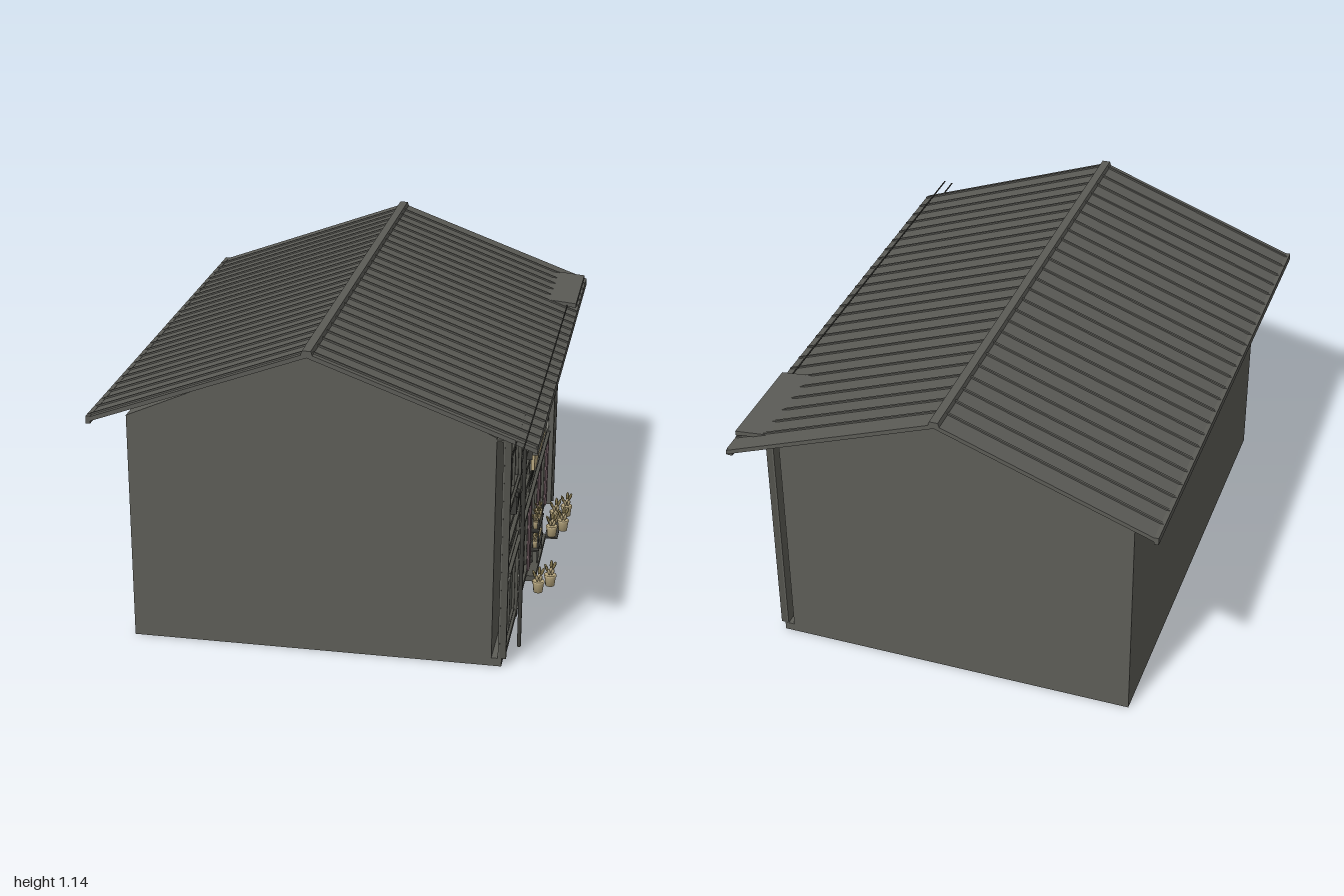
import * as THREE from 'three';

const mat = (name, color, double) => {
  const m = new THREE.MeshStandardMaterial({ color });
  m.name = name;
  if (double) m.side = THREE.DoubleSide;
  return m;
};

export function createModel() {
  const root = new THREE.Group();
  root.name = 'townhouse';
  const wall = mat('wall grey', 0x5d5d57), roofM = mat('roof grey', 0x5b5b56);
  const timber = mat('timber grey', 0x52524c), dark = mat('dark metal', 0x3c3c38);
  const glass = mat('window grey', 0x575851), pale = mat('pale trim', 0x8a8a82);
  const cloth = mat('curtain white', 0xc4c4ba, true), pink = mat('door curtain pink', 0x957a82, true);
  const tan = mat('tan', 0xb9a87f), leaf = mat('dry leaves', 0x7d7048);

  const add = (parent, name, geo, m) => {
    const mesh = new THREE.Mesh(geo, m);
    mesh.name = name;
    parent.add(mesh);
    return mesh;
  };
  const group = (name) => {
    const g = new THREE.Group();
    g.name = name;
    root.add(g);
    return g;
  };
  const box = (p, name, m, x0, x1, y0, y1, z0, z1) => {
    const b = add(p, name, new THREE.BoxGeometry(x1 - x0, y1 - y0, Math.abs(z1 - z0)), m);
    b.position.set((x0 + x1) / 2, (y0 + y1) / 2, (z0 + z1) / 2);
    return b;
  };
  // cross-section in x/y, pushed along z
  const prism = (p, name, m, pts, z0, z1) => {
    const shape = new THREE.Shape(pts.map(([x, y]) => new THREE.Vector2(x, y)));
    const mesh = add(p, name, new THREE.ExtrudeGeometry(shape, { depth: z1 - z0, bevelEnabled: false }), m);
    mesh.position.z = z0;
    return mesh;
  };
  // rod between two heights
  const pipe = (p, name, x, z, y0, y1, r) => {
    const c = add(p, name, new THREE.CylinderGeometry(r, r, y1 - y0, 10), dark);
    c.position.set(x, (y0 + y1) / 2, z);
  };

  // main block with gables
  prism(root, 'houseBody', wall, [[-0.665, 0], [0.61, 0], [0.61, 0.845], [-0.01, 1.12], [-0.665, 0.835]], -0.89, 0.81);
  box(root, 'plinth', wall, 0.6, 0.645, 0, 0.03, -0.89, 0.81);

  // roof: sheet, standing seams, ridge and gutters
  const roof = group('roof');
  const strip = (name, m, lo, hi, z0, z1) => prism(roof, name, m, [
    [-0.775, 0.855 + lo], [-0.01, 1.135 + lo], [0.755, 0.855 + lo],
    [0.755, 0.855 + hi], [-0.01, 1.135 + hi], [-0.775, 0.855 + hi]], z0, z1);
  strip('roofSheet', roofM, -0.016, 0, -1, 0.91);
  for (let i = 0; i < 25; i++) {
    const z = -0.92 + i * 0.0752;
    strip('roofSeam', roofM, -0.002, 0.006, z - 0.004, z + 0.004);
  }
  prism(roof, 'ridgeCap', roofM, [[-0.03, 1.128], [0.01, 1.128], [0.005, 1.143], [-0.025, 1.143]], -1, 0.91);
  box(roof, 'leftFascia', roofM, 0.738, 0.755, 0.83, 0.858, -0.99, 0.9);
  box(roof, 'rightFascia', roofM, -0.775, -0.76, 0.835, 0.862, -1, 0.91);
  box(roof, 'soffitBoard', timber, 0.61, 0.738, 0.832, 0.839, -0.89, 0.81);
  prism(roof, 'canopy', roofM, [[0.45, 0.91], [0.75, 0.873], [0.75, 0.89], [0.45, 0.918]], -0.93, -0.545);
  box(roof, 'wire', dark, 0.714, 0.718, 0.88, 0.884, -0.54, 1);
  box(roof, 'wire', dark, 0.683, 0.687, 0.876, 0.88, 0.5, 1);

  // facade skin standing just clear of the body
  const facade = group('facade');
  box(facade, 'facadePanel', wall, 0.632, 0.638, 0.03, 0.835, -0.89, 0.81);
  for (const z of [0.8, 0.47, -0.54, -0.88])
    box(facade, 'post', timber, 0.635, 0.66, 0.03, 0.865, z - 0.009, z + 0.009);
  for (const z of [0.12, -0.22])
    box(facade, 'upperPost', timber, 0.635, 0.655, 0.345, 0.835, z - 0.008, z + 0.008);
  const beams = [[0.035, 0.055], [0.325, 0.35], [0.36, 0.367], [0.42, 0.44], [0.495, 0.515], [0.565, 0.58], [0.755, 0.77], [0.815, 0.835]];
  for (const [a, b] of beams) box(facade, 'beam', timber, 0.638, 0.658, a, b, -0.54, 0.8);
  box(facade, 'storeyBeam', timber, 0.638, 0.668, 0.34, 0.352, -0.54, 0.8);
  box(facade, 'rail', pale, 0.655, 0.66, 0.302, 0.308, 0.16, 0.79);
  box(facade, 'wingWall', wall, 0.638, 0.68, 0.03, 0.865, -0.565, -0.548);
  pipe(facade, 'downpipe', 0.703, 0.8, 0.08, 0.87, 0.007);
  pipe(facade, 'downpipe', 0.683, -0.585, 0.03, 0.87, 0.005);

  // framed panel: pane plus four thin bars and optional mullions
  const frame = (name, z0, z1, y0, y1, n, m, x = 0.638) => {
    const g = group(name), t = 0.006, w = (z1 - z0) / n;
    box(g, 'pane', glass, x, x + 0.003, y0, y1, z0, z1);
    for (const y of [y0, y1 - t]) box(g, 'frameBar', m, x, x + 0.012, y, y + t, z0, z1);
    for (let i = 0; i <= n; i++) {
      const z = z0 + i * w;
      box(g, 'mullion', m, x, x + 0.012, y0, y1, z - t / 2, z + t / 2);
    }
  };
  frame('shopScreenFront', 0.485, 0.79, 0.06, 0.325, 2, timber);
  frame('shopScreenMiddle', 0.165, 0.46, 0.06, 0.325, 2, timber);
  frame('shopScreenBack', -0.525, -0.245, 0.06, 0.325, 2, timber);
  frame('transomMiddle', 0.165, 0.46, 0.367, 0.42, 2, timber);
  frame('transomFront', 0.485, 0.79, 0.367, 0.42, 2, timber);
  frame('transomBack', -0.525, -0.245, 0.367, 0.42, 3, timber);
  frame('entranceDoor', -0.17, 0.09, 0.055, 0.325, 2, timber);
  frame('upperScreen', 0.485, 0.79, 0.58, 0.755, 3, timber);
  frame('upperWindow', 0.14, 0.455, 0.58, 0.755, 3, timber);
  frame('upperWindow', -0.205, 0.1, 0.58, 0.755, 3, timber);
  frame('upperWindow', -0.515, -0.245, 0.58, 0.755, 3, timber);
  frame('sideWindow', -0.85, -0.585, 0.555, 0.785, 2, timber);
  frame('sideDoor', -0.865, -0.58, 0.06, 0.335, 2, timber);
  frame('sideDoorInset', -0.86, -0.585, 0.07, 0.32, 2, pale, 0.642);
  box(facade, 'paleEdge', pale, 0.655, 0.662, 0.06, 0.4, 0.466, 0.472);
  box(facade, 'paleEdge', pale, 0.645, 0.652, 0.06, 0.4, 0.311, 0.315);
  box(facade, 'paleEdge', pale, 0.655, 0.662, 0.06, 0.4, -0.532, -0.528);

  // side bay: siding boards, head beams and balcony rail
  const side = group('sideBay');
  for (let i = 0; i < 6; i++)
    box(side, 'sidingBoard', timber, 0.638, 0.648, 0.375 + i * 0.029, 0.396 + i * 0.029, -0.875, -0.555);
  for (const y of [0.345, 0.79]) box(side, 'sideBeam', timber, 0.638, 0.656, y, y + 0.022, -0.875, -0.555);
  for (const y of [0.558, 0.655]) box(side, 'balconyRail', dark, 0.66, 0.67, y, y + 0.01, -0.85, -0.58);
  for (let i = 0; i < 13; i++) {
    const z = -0.847 + i * 0.022;
    box(side, 'baluster', dark, 0.662, 0.668, 0.56, 0.66, z - 0.003, z + 0.003);
  }

  // hanging cloth with folds
  const hang = (name, m, z0, z1, y0, y1, x, folds, depth) => {
    const geo = new THREE.PlaneGeometry(z1 - z0, y1 - y0, folds * 6, 1);
    const p = geo.attributes.position;
    for (let i = 0; i < p.count; i++) {
      const u = p.getX(i) / (z1 - z0) + 0.5;
      p.setZ(i, Math.sin(u * folds * Math.PI * 2) * depth);
    }
    geo.rotateY(Math.PI / 2);
    geo.computeVertexNormals();
    add(facade, name, geo, m).position.set(x, (y0 + y1) / 2, (z0 + z1) / 2);
  };
  for (const [a, b] of [[0.14, 0.455], [-0.205, 0.1], [-0.515, -0.245]]) {
    const w = (b - a) / 3;
    for (let i = 0; i < 3; i++)
      hang('windowCurtain', cloth, a + i * w + 0.005, a + (i + 1) * w - 0.005, 0.587, 0.745, 0.6455, 4, 0.002);
  }
  hang('sideCurtain', cloth, -0.82, -0.705, 0.665, 0.778, 0.646, 5, 0.002);
  for (const [a, b] of [[0.09, 0.16], [-0.24, -0.17], [-0.52, -0.465]])
    hang('doorCurtain', pink, a, b, 0.06, 0.335, 0.662, 4, 0.006);

  // wavy signboard
  const board = new THREE.Shape(), N = 24;
  for (let i = 0; i <= N; i++) {
    const u = -0.155 + 0.395 * i / N, y = 0.546 + 0.005 * Math.sin(i * 0.75);
    i ? board.lineTo(u, y) : board.moveTo(u, y);
  }
  for (let i = N; i >= 0; i--) board.lineTo(-0.155 + 0.395 * i / N, 0.46 + 0.006 * Math.sin(i * 0.6 + 2));
  const boardGeo = new THREE.ExtrudeGeometry(board, { depth: 0.013, bevelEnabled: false }).rotateY(Math.PI / 2);
  add(root, 'signBoard', boardGeo, tan).position.x = 0.662;

  // lattice over the entrance, and short brackets
  for (let i = 0; i <= 16; i++) {
    const z = -0.2 + i * 0.0185;
    box(facade, 'latticeSlat', dark, 0.644, 0.654, 0.37, 0.42, z - 0.003, z + 0.003);
  }
  for (const y of [0.385, 0.402]) box(facade, 'latticeBar', dark, 0.643, 0.651, y, y + 0.004, -0.2, 0.1);
  for (const z of [0.67, 0.63, 0.6, 0.17, 0.11, -0.18, -0.42, -0.45, -0.49])
    box(facade, 'bracket', dark, 0.645, 0.668, 0.515, 0.58, z - 0.004, z + 0.004);

  // entrance step and display shelf
  box(root, 'entranceStep', timber, 0.64, 0.69, 0.01, 0.032, -0.25, 0.14);
  const shelf = group('displayShelf');
  for (const y of [0.085, 0.165]) box(shelf, 'shelfBoard', dark, 0.655, 0.69, y, y + 0.007, -0.135, 0.04);
  for (const z of [0.02, -0.115])
    for (const x of [0.66, 0.682]) box(shelf, 'shelfLeg', dark, x, x + 0.006, 0.032, 0.215, z - 0.003, z + 0.003);

  // potted plants, in two sizes
  const potGeo = new THREE.LatheGeometry([[0, 0], [0.017, 0], [0.021, 0.036], [0.023, 0.036], [0.023, 0.044], [0.019, 0.044], [0, 0.04]]
    .map(([x, y]) => new THREE.Vector2(x, y)), 12);
  const leafGeo = new THREE.SphereGeometry(1, 6, 5);
  const plant = (x, y, z, s) => {
    const g = group('pottedPlant');
    g.position.set(x, y, z);
    g.scale.setScalar(s);
    add(g, 'pot', potGeo, tan);
    for (let i = 0; i < 7; i++) {
      const a = i * 2.4, r = i ? 0.016 : 0;
      const l = add(g, 'leaf', leafGeo, i % 3 ? leaf : tan);
      l.scale.set(0.006, 0.016, 0.006);
      l.position.set(Math.cos(a) * r, 0.06 + (i % 3) * 0.009, Math.sin(a) * r);
      l.rotation.set(Math.sin(a) * 0.4, 0, -Math.cos(a) * 0.4);
    }
  };
  for (const [x, z] of [[0.71, 0.225], [0.748, 0.163], [0.71, -0.28], [0.748, -0.345], [0.71, -0.425], [0.748, -0.49]])
    plant(x, 0.012, z, 1);
  box(root, 'plantTray', dark, 0.685, 0.735, 0.008, 0.014, -0.51, -0.26);
  for (const y of [0.092, 0.172])
    for (const z of [0.01, -0.045, -0.1]) plant(0.673, y, z, 0.65);

  return root;
}
